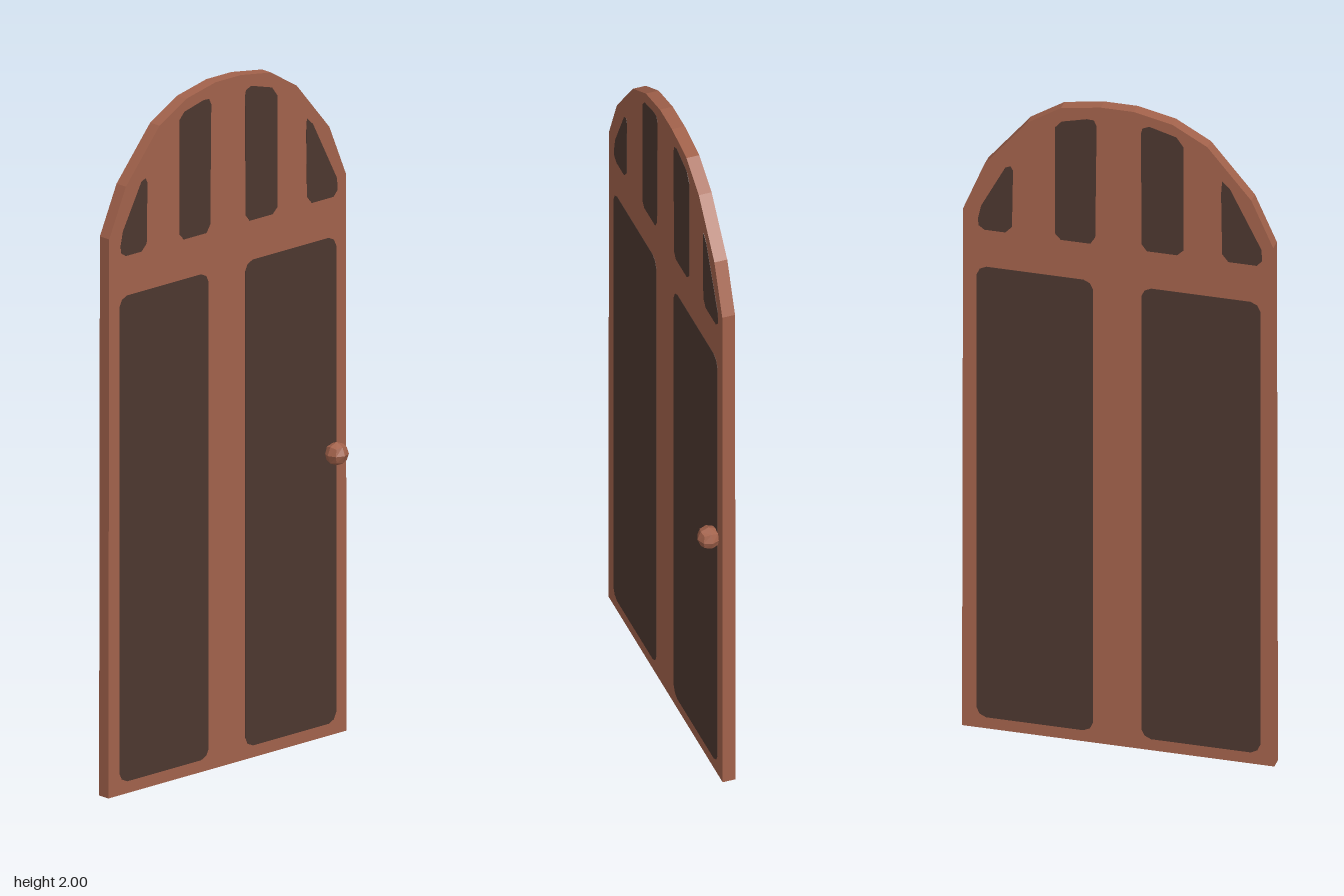
import * as THREE from 'three';

export function createModel() {
  const door = new THREE.Group();
  door.name = 'archedDoor';

  const wood = new THREE.MeshStandardMaterial({ color: 0xa2624b, flatShading: true });
  wood.name = 'reddish wood';
  const dark = new THREE.MeshStandardMaterial({ color: 0x4d372f, flatShading: true });
  dark.name = 'dark panel';

  const BACK = -0.046, FRONT = -0.008, MIDDLE = (BACK + FRONT) / 2;
  const PLATE = 0.001;

  const shapeOf = (points) => new THREE.Shape(points.map(([x, y]) => new THREE.Vector2(x, y)));
  const extrude = (points, depth) =>
    new THREE.ExtrudeGeometry(shapeOf(points), { depth, bevelEnabled: false });
  const add = (parent, name, geometry, material) => {
    const mesh = new THREE.Mesh(geometry, material);
    mesh.name = name;
    parent.add(mesh);
    return mesh;
  };

  // Arched slab
  const slab = add(door, 'doorSlab', extrude([
    [-0.45, 0], [0.45, 0], [0.447, 1.626], [0.385, 1.775], [0.262, 1.922], [0.165, 1.982],
    [0.05, 2], [-0.045, 2], [-0.156, 1.976], [-0.257, 1.92], [-0.384, 1.77], [-0.447, 1.63],
  ], FRONT - BACK), wood);
  slab.position.z = BACK;

  // Tall panel outline with softly clipped corners
  const tallPanel = (x0, x1, y0, y1) => {
    const c = 0.028, d = 0.009;
    return [
      [x0 + c, y0], [x1 - c, y0], [x1 - d, y0 + d], [x1, y0 + c],
      [x1, y1 - c], [x1 - d, y1 - d], [x1 - c, y1], [x0 + c, y1],
      [x0 + d, y1 - d], [x0, y1 - c], [x0, y0 + c], [x0 + d, y0 + d],
    ];
  };

  const outlines = {
    lowerPanelRight: tallPanel(-0.408, -0.072, 0.035, 1.452),
    lowerPanelLeft: tallPanel(0.067, 0.41, 0.035, 1.452),
    outerArchPanelRight: [
      [-0.385, 1.568], [-0.325, 1.568], [-0.306, 1.588], [-0.303, 1.765],
      [-0.31, 1.778], [-0.325, 1.772], [-0.395, 1.642], [-0.404, 1.6], [-0.402, 1.58],
    ],
    innerArchPanelRight: [
      [-0.165, 1.568], [-0.08, 1.568], [-0.066, 1.59], [-0.062, 1.94],
      [-0.07, 1.957], [-0.09, 1.958], [-0.163, 1.94], [-0.181, 1.92], [-0.181, 1.585],
    ],
    innerArchPanelLeft: [
      [0.083, 1.568], [0.17, 1.568], [0.188, 1.585], [0.188, 1.91],
      [0.168, 1.938], [0.09, 1.96], [0.07, 1.952], [0.066, 1.935], [0.068, 1.588],
    ],
    outerArchPanelLeft: [
      [0.318, 1.568], [0.4, 1.568], [0.415, 1.585], [0.413, 1.62],
      [0.322, 1.798], [0.3, 1.818], [0.297, 1.78], [0.3, 1.59],
    ],
  };

  // Same set of panels on both faces, turned half round for the back
  for (const [name, turn] of [['frontPanels', 0], ['backPanels', Math.PI]]) {
    const face = new THREE.Group();
    face.name = name;
    for (const [part, points] of Object.entries(outlines)) {
      add(face, part, extrude(points, PLATE), dark).position.z = FRONT - MIDDLE;
    }
    face.position.z = MIDDLE;
    face.rotation.y = turn;
    door.add(face);
  }

  // Faceted knob: a subdivided cube pushed out to a ball
  const ball = new THREE.BoxGeometry(1, 1, 1, 2, 2, 2);
  const p = ball.attributes.position;
  const v = new THREE.Vector3();
  for (let i = 0; i < p.count; i++) {
    v.fromBufferAttribute(p, i).setLength(0.034);
    p.setXYZ(i, v.x, v.y, v.z);
  }
  ball.computeVertexNormals();
  add(door, 'knob', ball, wood).position.set(0.394, 0.825, 0.012);

  return door;
}
